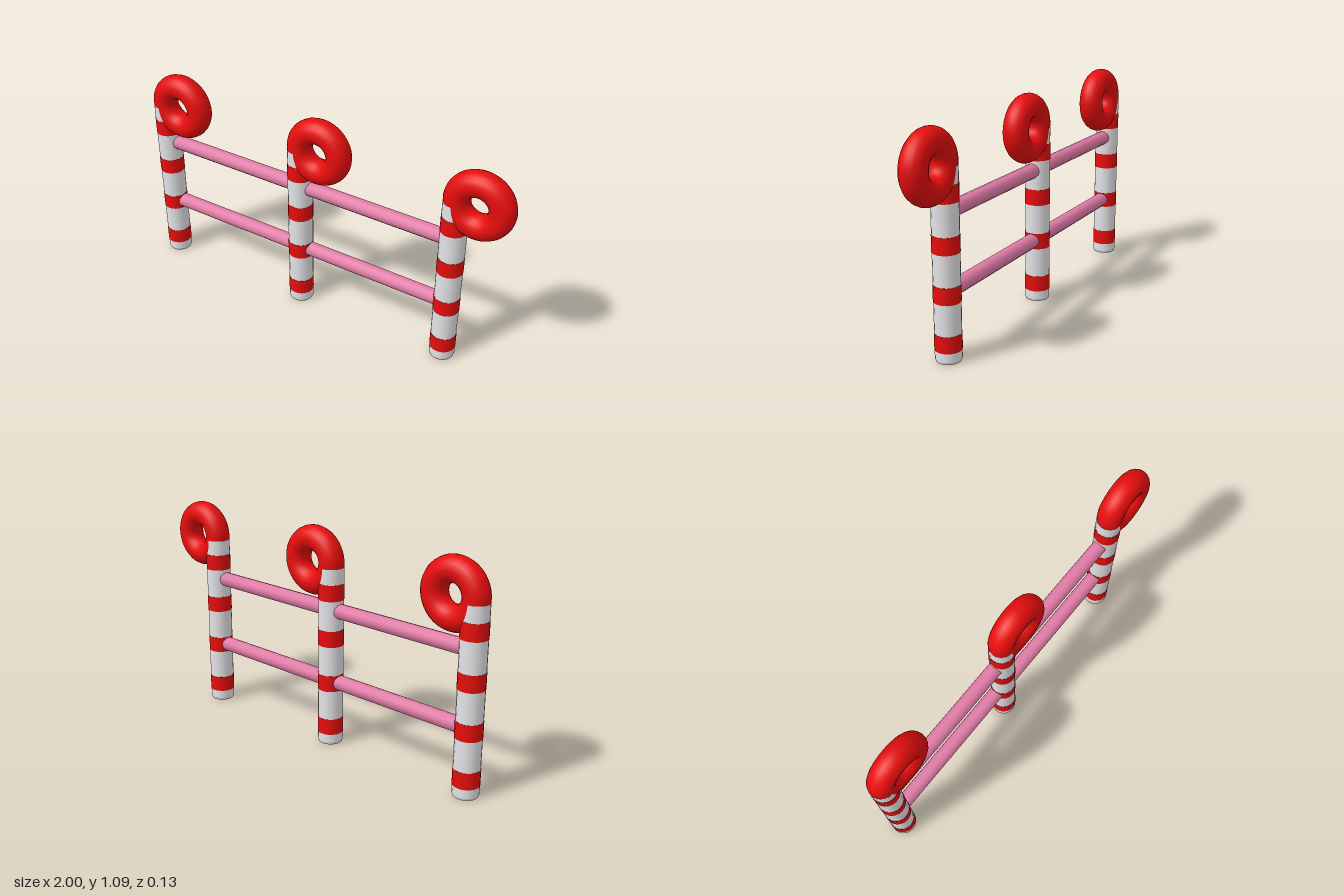
import * as THREE from 'three';

export function createModel() {
  const model = new THREE.Group();
  model.name = 'candyCaneFence';

  const mat = (name, color) => {
    const m = new THREE.MeshStandardMaterial({ color });
    m.name = name;
    return m;
  };
  const red = mat('candyRed', 0xe60d0d);
  const white = mat('sugarWhite', 0xe6e6ea);
  const pink = mat('railPink', 0xe07ba6);

  const add = (parent, name, geometry, material, x, y) => {
    const mesh = new THREE.Mesh(geometry, material);
    mesh.name = name;
    mesh.position.set(x, y, 0);
    parent.add(mesh);
    return mesh;
  };

  const R = 0.0625;        // post radius
  const LOOP = 0.109;      // radius of the curled top
  const LOOP_Y = 0.918;
  const SPACING = 0.8275;
  const BAND = 0.081;

  // Post: cylinder with a small bevel at the foot, hidden inside the loop on top
  const foot = new THREE.CylinderGeometry(R, R - 0.004, 0.012, 20, 1, true);
  const shaft = new THREE.CylinderGeometry(R, R, 0.89, 20);
  const sole = new THREE.CircleGeometry(R - 0.004, 20);
  const band = new THREE.CylinderGeometry(R + 0.0012, R + 0.0012, BAND, 20);
  const loop = new THREE.TorusGeometry(LOOP, R, 20, 48);

  for (let i = -1; i <= 1; i++) {
    const cane = new THREE.Group();
    cane.name = 'cane';
    cane.position.x = i * SPACING - LOOP;
    model.add(cane);

    add(cane, 'postFoot', foot, white, 0, 0.006);
    add(cane, 'postShaft', shaft, white, 0, 0.012 + 0.445);
    add(cane, 'postSole', sole, white, 0, 0).rotation.set(Math.PI / 2, 0, -Math.PI / 10);
    for (let k = 0; k < 4; k++) {
      add(cane, 'redBand', band, red, 0, 0.095 + k * 0.23);
    }
    add(cane, 'curledTop', loop, red, LOOP, LOOP_Y);
  }

  // Rails between neighbouring posts, ending inside them
  const rail = new THREE.CylinderGeometry(0.0375, 0.0375, SPACING - 0.06, 12);
  rail.rotateZ(Math.PI / 2);
  for (const side of [-0.5, 0.5]) {
    for (const y of [0.326, 0.692]) {
      add(model, 'rail', rail, pink, side * SPACING - LOOP, y);
    }
  }
  return model;
}
